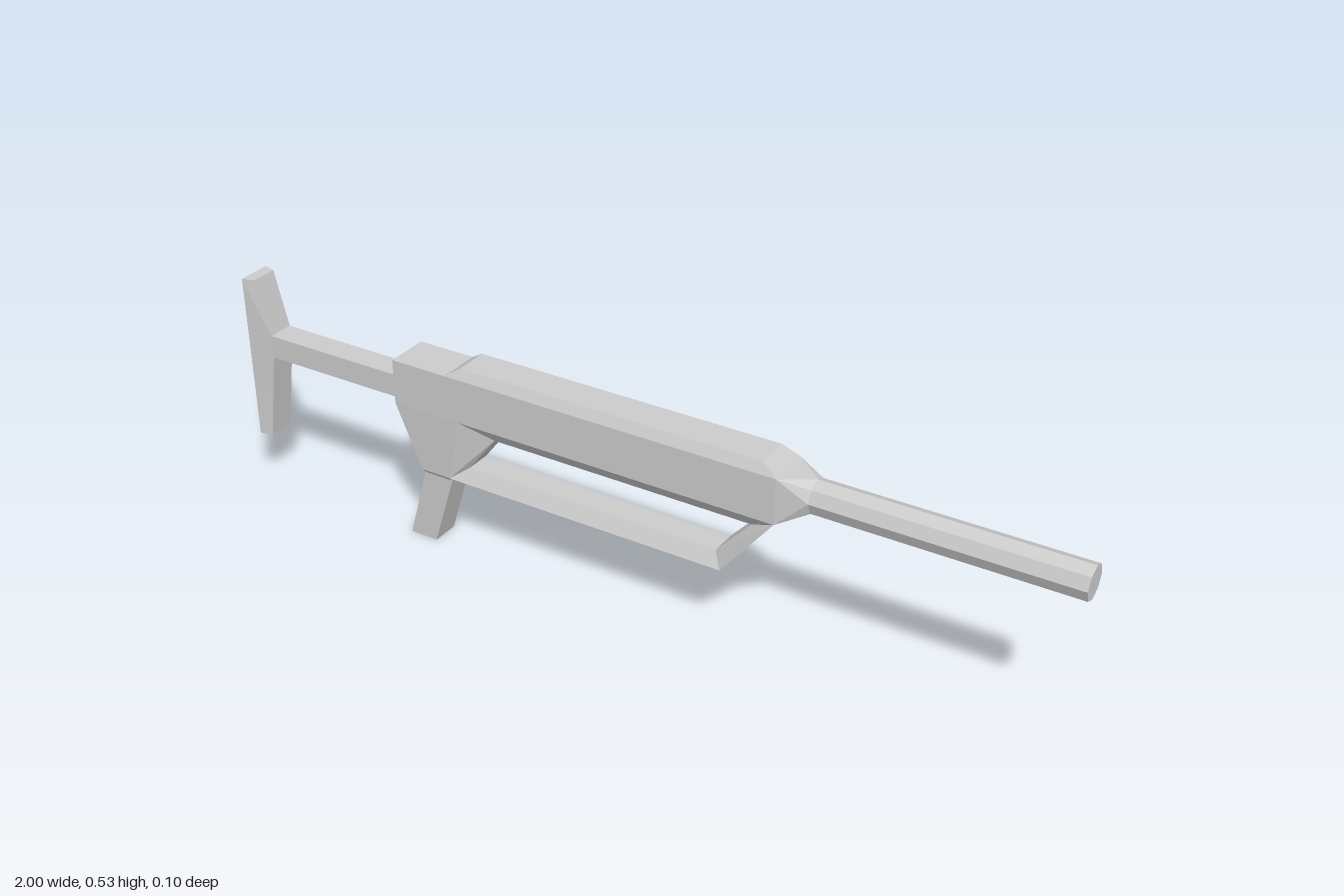
import * as THREE from 'three';
import { ConvexGeometry } from 'three/addons/geometries/ConvexGeometry.js';

const material = new THREE.MeshStandardMaterial({ color: 0xcccccc, flatShading: true });

// Corners given as [x, y, half width], mirrored across z.
const mirrored = (corners) => corners.flatMap(([x, y, z]) => [
  new THREE.Vector3(x, y, z), new THREE.Vector3(x, y, -z),
]);

export function createModel() {
  const model = new THREE.Group();
  model.name = 'model';

  const add = (name, geometry) => {
    const mesh = new THREE.Mesh(geometry, material);
    mesh.name = name;
    model.add(mesh);
    return mesh;
  };
  const addHull = (name, corners, extra = []) =>
    add(name, new ConvexGeometry([...mirrored(corners), ...extra]));

  // Main body and its raised, bevelled top
  addHull('body', [
    [-0.57, 0.452, 0.052], [0.37, 0.452, 0.052], [0.37, 0.346, 0.052], [-0.57, 0.346, 0.052],
  ]);
  addHull('topRidge', [
    [-0.43, 0.452, 0.052], [0.37, 0.452, 0.052], [0.335, 0.475, 0.04], [-0.395, 0.475, 0.04],
  ]);

  // Octagonal barrel, with a nose blending it into the body
  const barrelY = 0.408, barrelR = 0.038, noseX = 0.435;
  const barrel = add('barrel', new THREE.CylinderGeometry(barrelR, barrelR, 1 - noseX, 8));
  barrel.rotation.z = -Math.PI / 2;
  barrel.position.set((1 + noseX) / 2, barrelY, 0);
  const ring = Array.from({ length: 8 }, (_, i) => {
    const a = (i * Math.PI) / 4;
    return new THREE.Vector3(noseX, barrelY + barrelR * Math.cos(a), barrelR * Math.sin(a));
  });
  addHull('nose', [[0.37, 0.452, 0.052], [0.37, 0.346, 0.052]], ring);

  // Lower frame around the opening: sides slope in towards the inner edge
  const outer = {
    backTop: [-0.40, 0.346, 0.052], frontTop: [0.37, 0.346, 0.052],
    frontLow: [0.25, 0.192, 0.048], backLow: [-0.435, 0.192, 0.048],
  };
  const inner = {
    backTop: [-0.32, 0.315, 0.03], frontTop: [0.31, 0.315, 0.03],
    frontLow: [0.23, 0.225, 0.03], backLow: [-0.39, 0.225, 0.03],
  };
  const side = (a, b) => [outer[a], outer[b], inner[a], inner[b]];
  addHull('bodyUnderside', side('backTop', 'frontTop'));
  addHull('frontStrut', side('frontTop', 'frontLow'));
  addHull('lowerBar', side('frontLow', 'backLow'));
  addHull('rearHousing', [
    ...side('backTop', 'backLow'),
    [-0.57, 0.346, 0.052], [-0.51, 0.192, 0.048],
    [-0.505, 0.182, 0.04], [-0.44, 0.182, 0.04],
  ]);

  // Raked grip
  addHull('grip', [
    [-0.51, 0.19, 0.033], [-0.435, 0.19, 0.033], [-0.495, 0, 0.033], [-0.565, 0, 0.033],
  ]);

  // Rear bar and flared end plate
  addHull('rearBar', [
    [-0.95, 0.402, 0.031], [-0.56, 0.402, 0.031], [-0.56, 0.347, 0.031], [-0.95, 0.347, 0.031],
  ]);
  addHull('endPlate', [
    [-1, 0.534, 0.04], [-0.97, 0.534, 0.032], [-0.938, 0.402, 0.032],
    [-0.938, 0.347, 0.032], [-0.97, 0.133, 0.032], [-1, 0.133, 0.04],
  ]);

  return model;
}
